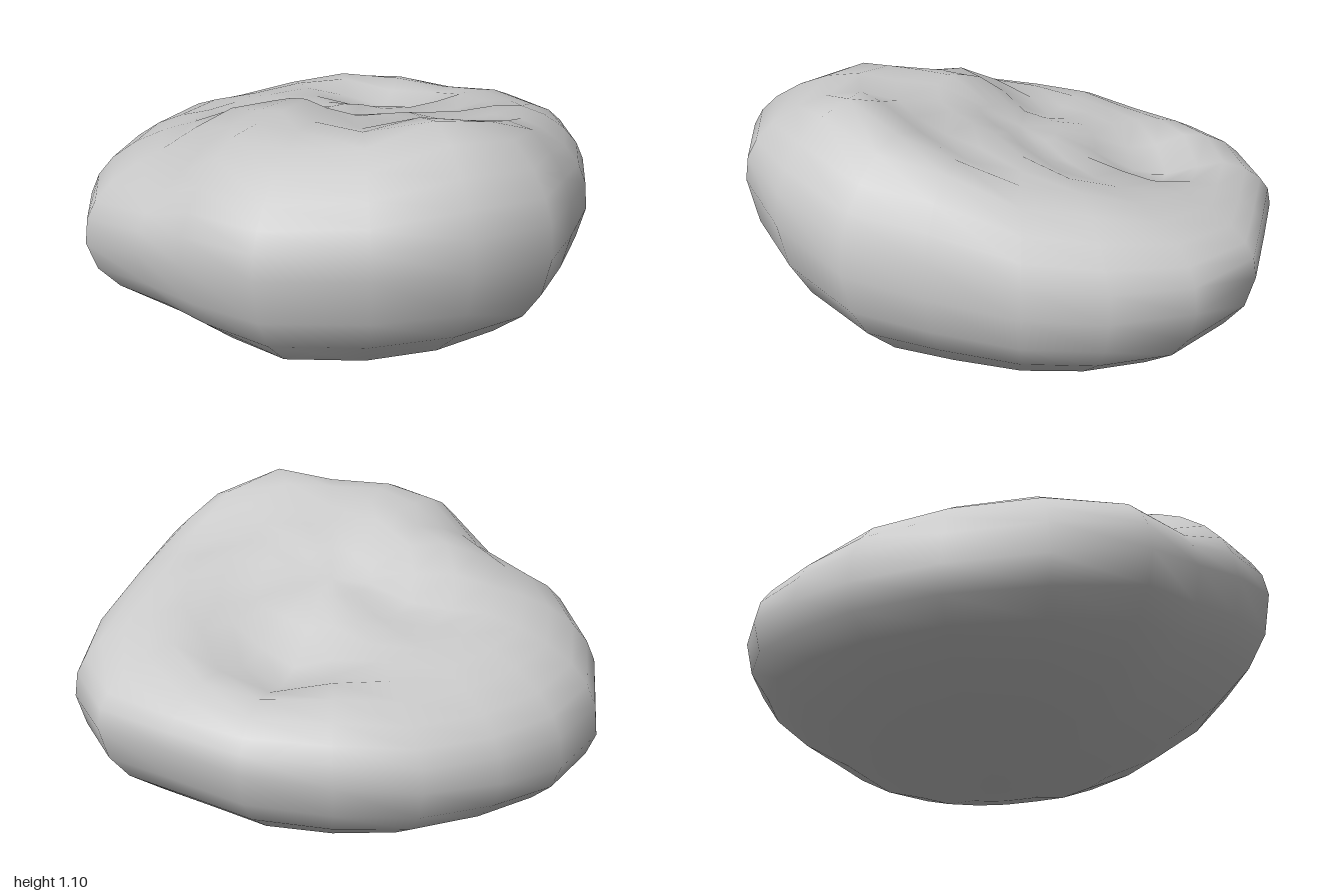
import * as THREE from 'three';
import { mergeVertices } from 'three/addons/utils/BufferGeometryUtils.js';

// Footprint of the widest line, clockwise from the back, as [x, z]
const outline = [
  [-0.10, -1.00], [0.21, -0.97], [0.46, -0.81], [0.66, -0.61], [0.83, -0.35],
  [0.97, -0.11], [0.97, 0.23], [0.87, 0.55], [0.65, 0.83], [0.33, 0.91],
  [0.05, 0.94], [-0.28, 1.00], [-0.59, 0.86], [-0.83, 0.63], [-0.95, 0.34],
  [-0.97, 0.05], [-0.94, -0.25], [-0.82, -0.51], [-0.63, -0.74], [-0.37, -0.87],
];

// Crown heights that shape the raised side, the sloping side and the dents: [x, z, height]
const crown = [
  [0, 0, 0.84], [0.3, 0.1, 0.98], [0.76, 0.1, 1.2], [0.62, 0.5, 1.1], [0.3, 0.65, 1.09],
  [0.45, 0.8, 1.08], [0.12, 0.35, 1.04], [-0.08, 0.45, 0.97], [-0.35, 0.55, 0.86],
  [-0.1, 0.82, 0.87], [-0.7, 0.35, 0.82], [-0.35, 0.15, 0.77], [-0.75, -0.05, 0.78],
  [-0.65, -0.5, 0.81], [-0.32, -0.42, 0.65], [-0.3, -0.75, 0.78], [0.05, -0.75, 0.83],
  [0.35, -0.75, 0.92], [0.05, -0.35, 0.8], [0.5, -0.55, 0.96], [0.7, -0.3, 1.1],
  [0.38, -0.25, 0.92],
];

function crownHeight(x, z) {
  let sum = 0, total = 0;
  for (const [cx, cz, h] of crown) {
    const w = 1 / ((x - cx) ** 2 + (z - cz) ** 2 + 0.02) ** 2;
    sum += w * h;
    total += w;
  }
  return sum / total;
}

// Height of the widest line, tilted up towards the tall side and its front corner
const waist = (x, z) => 0.55 + 0.12 * x + 0.02 * z + 0.17 * x * z;

// Rings from the bottom pole over the waist to the top pole
const bottomRings = [0, 0.2, 0.4, 0.6, 0.77, 0.9, 0.97, 1];
const topRings = [0.985, 0.95, 0.89, 0.8, 0.7, 0.58, 0.45, 0.3, 0.15, 0];

function bodyGeometry() {
  const positions = [], index = [];
  const n = outline.length;
  const rings = [
    ...bottomRings.map((r) => [r, false]),
    ...topRings.map((r) => [r, true]),
  ];
  for (const [r, isTop] of rings) {
    for (const [ox, oz] of outline) {
      const x = ox * r, z = oz * r, w = waist(ox, oz);
      const y = isTop
        ? w + (crownHeight(x, z) - w) * (1 - r ** 3.2) ** 0.45
        : w * (1 - Math.sqrt(1 - r ** 1.8));
      positions.push(x, y, z);
    }
  }
  for (let i = 0; i < rings.length - 1; i++) {
    for (let j = 0; j < n; j++) {
      const k = (j + 1) % n;
      const a = i * n + j, b = i * n + k, c = a + n, d = b + n;
      if (rings[i + 1][0] > 0) index.push(a, c, d);
      if (rings[i][0] > 0) index.push(a, d, b);
    }
  }
  let geometry = new THREE.BufferGeometry();
  geometry.setAttribute('position', new THREE.Float32BufferAttribute(positions, 3));
  geometry.setIndex(index);
  geometry = mergeVertices(geometry, 1e-4);
  geometry.computeVertexNormals();
  return geometry;
}

export function createModel() {
  const group = new THREE.Group();
  group.name = 'boulder';
  const body = new THREE.Mesh(
    bodyGeometry(),
    new THREE.MeshStandardMaterial({ color: 0xcccccc }),
  );
  body.name = 'boulderBody';
  group.add(body);
  return group;
}
